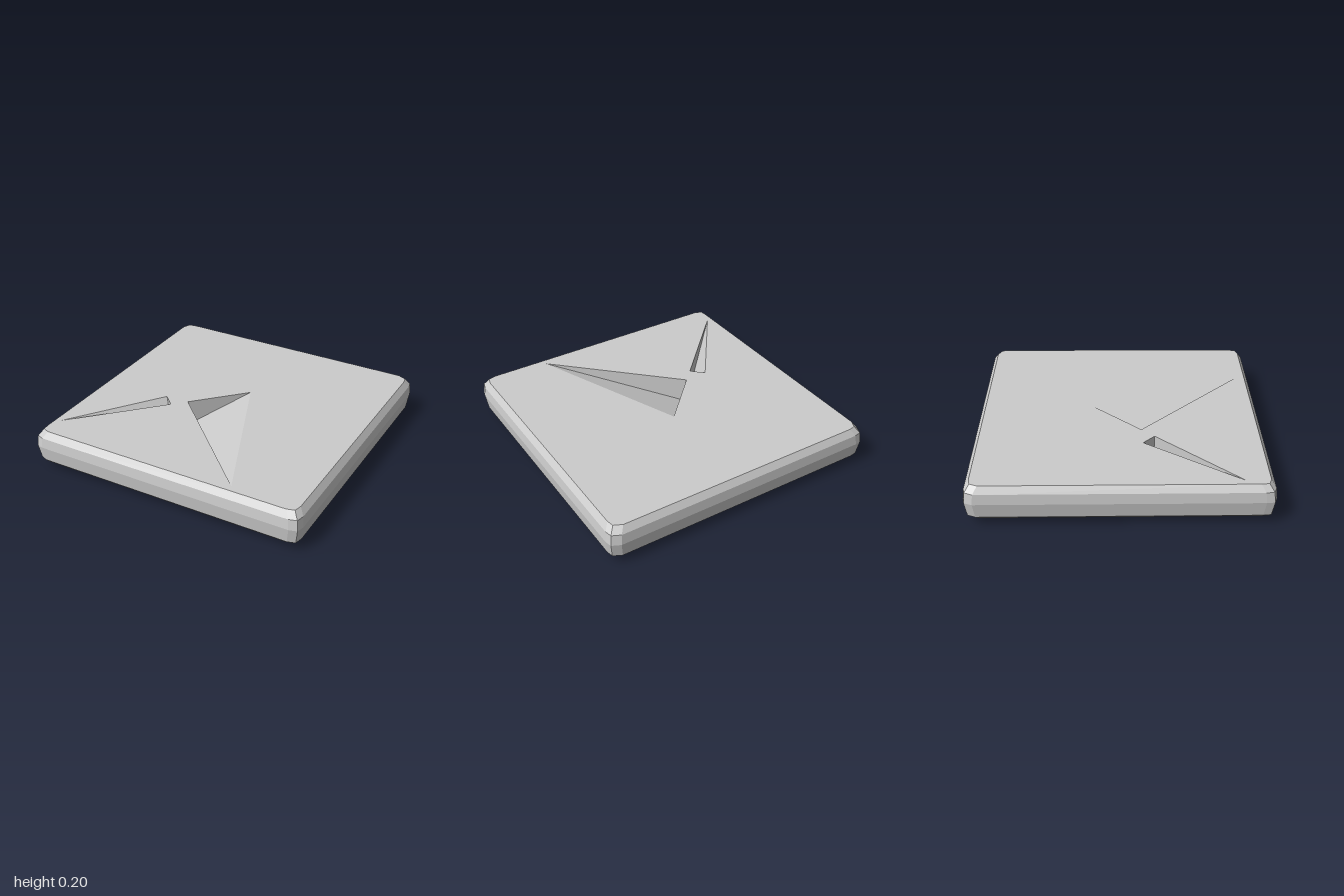
import * as THREE from 'three';

const material = new THREE.MeshStandardMaterial({ color: 0xcccccc, flatShading: true, side: THREE.DoubleSide });

// Diamond outline [x, z], each corner blunted
const outline = [
  [0.05, -0.98], [0.02, -1], [-0.02, -0.985],
  [-0.975, -0.05], [-1, -0.02], [-0.985, 0.015],
  [-0.045, 0.98], [-0.01, 1], [0.025, 0.98],
  [0.98, 0.06], [1, 0.03], [0.985, -0.015],
];

// Rim layers [height, scale], from underside to top
const layers = [[0.03, 0.965], [0.045, 0.985], [0.12, 1], [0.172, 0.992], [0.205, 0.96]];

// Triangular pits and bumps: three corners [x, z] and an apex [x, y, z]
const topPits = [
  { name: 'topLongPit', tri: [[-0.22, -0.07], [0.12, -0.07], [-0.22, 0.71]], apex: [-0.22, 0.07, -0.07] },
  { name: 'topSlotPit', tri: [[-0.87, -0.072], [-0.31, -0.155], [-0.31, -0.072]], apex: [-0.31, 0.085, -0.072] },
];
const undersideFacets = [
  { name: 'undersideBulge', tri: [[-0.22, -0.07], [0.13, -0.07], [-0.02, 0.9]], apex: [0, 0, 0] },
  { name: 'undersideLeftPocket', tri: [[0.91, -0.02], [0.35, -0.03], [0.45, -0.17]], apex: [0.37, 0.07, -0.04] },
  { name: 'undersideRightPocket', tri: [[-0.92, 0], [-0.33, 0.01], [-0.37, -0.15]], apex: [-0.34, 0.07, 0] },
];

function addMesh(group, name, geometry) {
  const mesh = new THREE.Mesh(geometry, material);
  mesh.name = name;
  group.add(mesh);
}

function fromPositions(positions) {
  const g = new THREE.BufferGeometry();
  g.setAttribute('position', new THREE.Float32BufferAttribute(positions, 3));
  g.computeVertexNormals();
  return g;
}

// Flat face with triangular openings; side is -1 for the top, 1 for the underside
function lid([y, scale], openings, side) {
  const to2D = (k) => ([x, z]) => new THREE.Vector2(x * k, z * k * side);
  const shape = new THREE.Shape(outline.map(to2D(scale)));
  for (const { tri } of openings) shape.holes.push(new THREE.Path(tri.map(to2D(1))));
  return new THREE.ShapeGeometry(shape).rotateX(side * Math.PI / 2).translate(0, y, 0);
}

// Bevelled, slightly bulging wall
function rim() {
  const p = [];
  const at = (i, j) => {
    const [y, s] = layers[j];
    const [x, z] = outline[i % outline.length];
    return [x * s, y, z * s];
  };
  for (let j = 0; j < layers.length - 1; j++) {
    for (let i = 0; i < outline.length; i++) {
      const a = at(i, j), b = at(i + 1, j), c = at(i + 1, j + 1), d = at(i, j + 1);
      p.push(...a, ...c, ...b, ...a, ...d, ...c);
    }
  }
  return fromPositions(p);
}

// Three faces joining an opening to its apex, wound to face outward
function facets({ tri, apex }, y, side) {
  const [a, b, c] = tri;
  const turn = (b[0] - a[0]) * (c[1] - a[1]) - (b[1] - a[1]) * (c[0] - a[0]);
  const ring = turn * side > 0 ? tri : [...tri].reverse();
  const p = [];
  ring.forEach(([x, z], i) => {
    const [x2, z2] = ring[(i + 1) % 3];
    p.push(x, y, z, x2, y, z2, ...apex);
  });
  return fromPositions(p);
}

export function createModel() {
  const group = new THREE.Group();
  group.name = 'diamondTile';
  const bottom = layers[0], top = layers[layers.length - 1];

  addMesh(group, 'rim', rim());
  addMesh(group, 'topFace', lid(top, topPits, -1));
  addMesh(group, 'undersideFace', lid(bottom, undersideFacets, 1));
  for (const f of topPits) addMesh(group, f.name, facets(f, top[0], -1));
  for (const f of undersideFacets) addMesh(group, f.name, facets(f, bottom[0], 1));
  return group;
}
